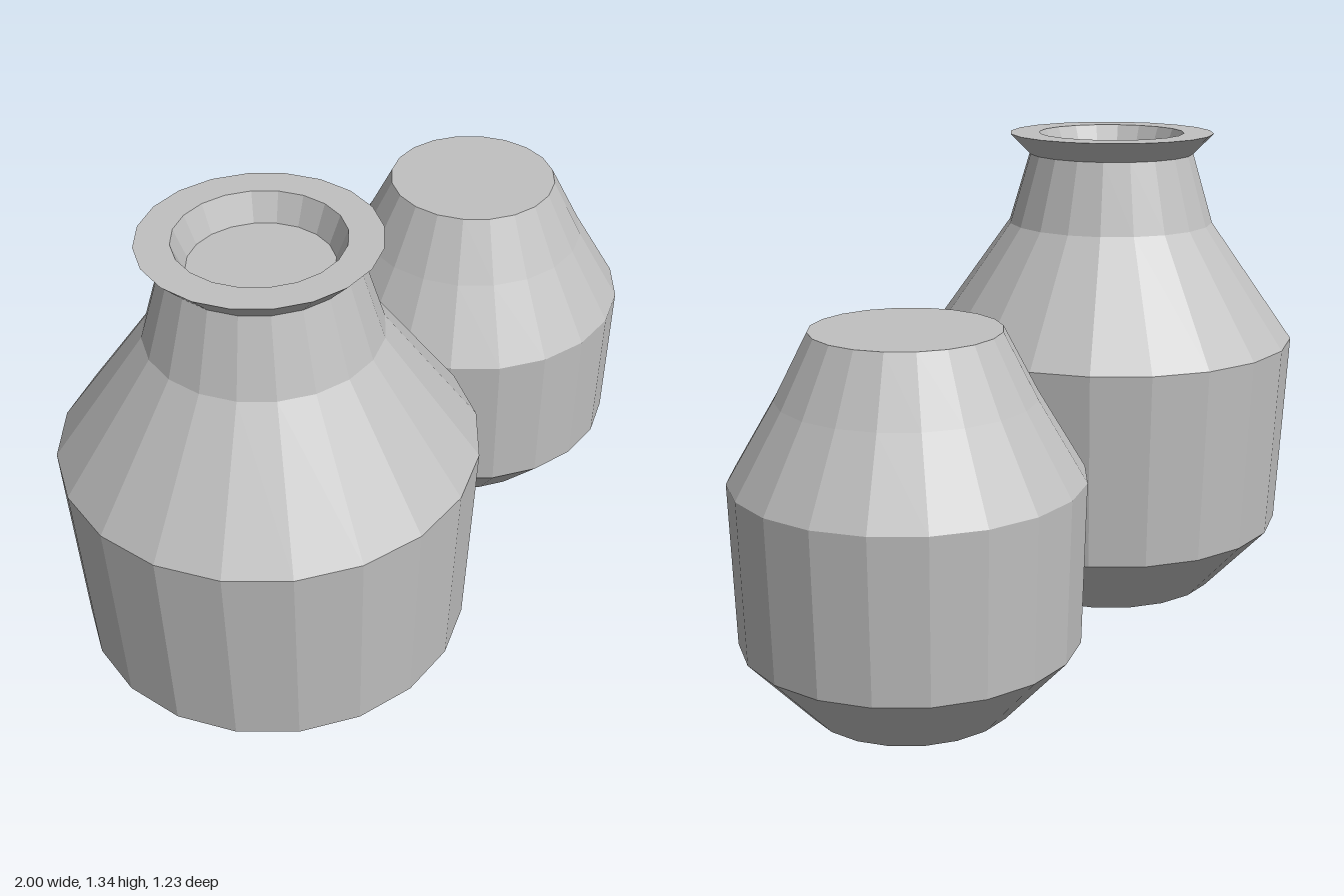
import * as THREE from 'three';

const SIDES = 20;

// Faceted solid of revolution from [radius, height] pairs, bottom to top
function turned(name, profile, material) {
  const points = profile.map(([r, y]) => new THREE.Vector2(r, y));
  const geometry = new THREE.LatheGeometry(points, SIDES).toNonIndexed();
  geometry.computeVertexNormals(); // one normal per face keeps the facets crisp
  const mesh = new THREE.Mesh(geometry, material);
  mesh.name = name;
  return mesh;
}

export function createModel() {
  const model = new THREE.Group();
  model.name = 'pairOfJars';
  const clay = new THREE.MeshStandardMaterial({ color: 0xc0c0c0 });
  clay.name = 'greyClay';

  // Tall jar: tapered foot, belly, sloping shoulder and neck
  const tallJar = new THREE.Group();
  tallJar.name = 'tallJar';
  tallJar.position.set(-0.467, 0, 0.08);
  tallJar.add(turned('tallJarBody', [
    [0, 0], [0.325, 0], [0.505, 0.195], [0.533, 0.745], [0.295, 1.08], [0.236, 1.277],
  ], clay));
  // Flared rim with a shallow recessed mouth
  tallJar.add(turned('tallJarRim', [
    [0.236, 1.277], [0.293, 1.335], [0.208, 1.335], [0.178, 1.262], [0, 1.262],
  ], clay));
  model.add(tallJar);

  // Short jar: same foot and belly, closed with a flat top
  const shortJar = new THREE.Group();
  shortJar.name = 'shortJar';
  shortJar.position.set(0.558, 0, -0.172);
  shortJar.add(turned('shortJarBody', [
    [0, 0], [0.265, 0], [0.43, 0.18], [0.442, 0.597], [0.322, 0.8], [0.237, 0.965], [0, 0.965],
  ], clay));
  model.add(shortJar);

  return model;
}
